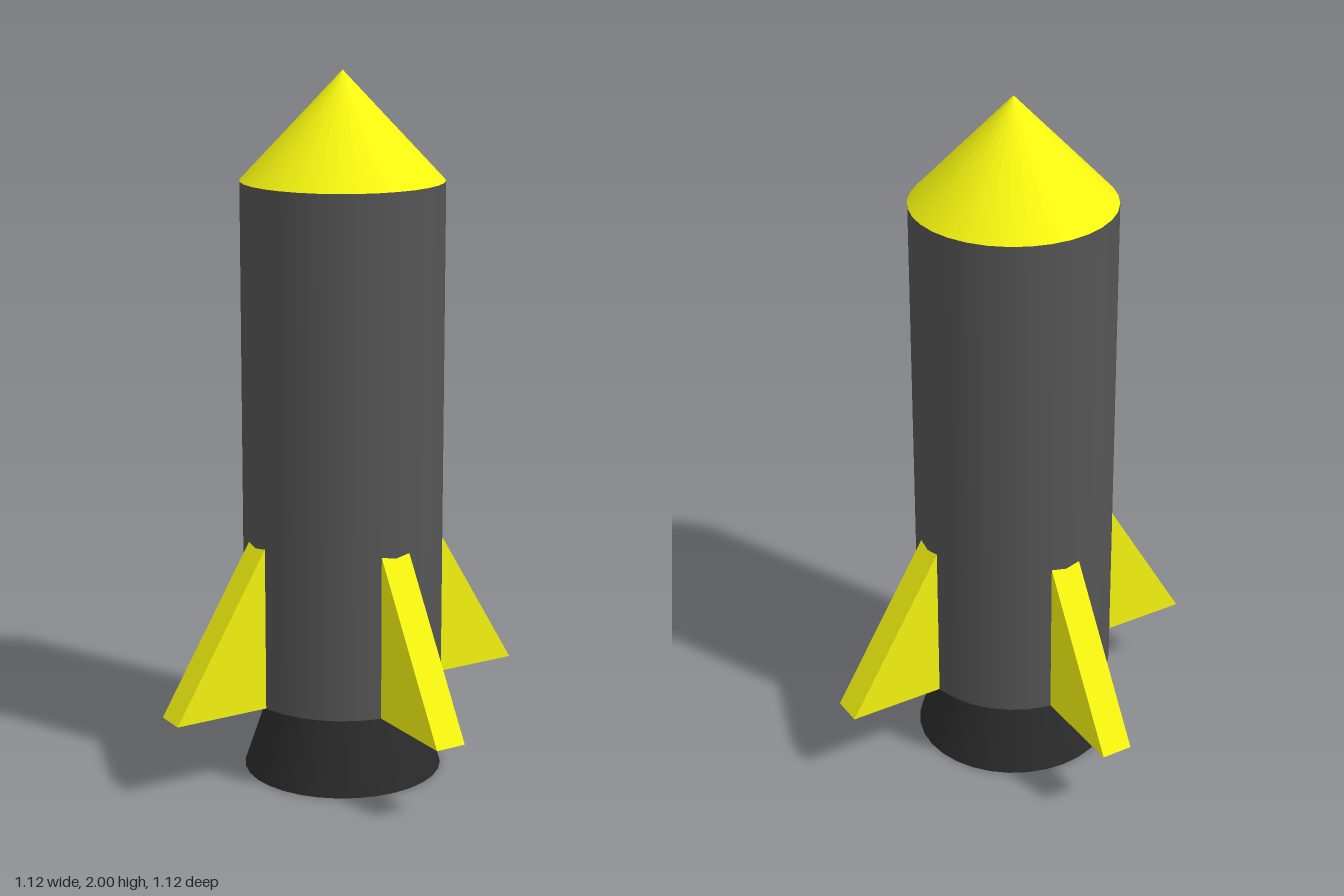
import * as THREE from 'three';

const R = 0.284;       // body radius
const BASE = 0.23;     // underside of body and fins
const SHOULDER = 1.7;  // where the nose cone starts
const SIDES = 32;
const FIN_WIDTH = 0.09;

const paint = (color) => new THREE.MeshStandardMaterial({ color });

function addMesh(parent, name, geometry, material) {
  const mesh = new THREE.Mesh(geometry, material);
  mesh.name = name;
  parent.add(mesh);
  return mesh;
}

// Triangular fin with its root sunk slightly into the body, pointing along +x
function finGeometry() {
  const tip = 0.56, top = 0.69, root = 0.25;
  const slope = (top - BASE) / (tip - R);
  const shape = new THREE.Shape([
    new THREE.Vector2(root, BASE),
    new THREE.Vector2(tip, BASE),
    new THREE.Vector2(root, BASE + (tip - root) * slope),
  ]);
  return new THREE.ExtrudeGeometry(shape, { depth: FIN_WIDTH, bevelEnabled: false })
    .translate(0, 0, -FIN_WIDTH / 2);
}

// Hollow flared nozzle: one sharp-edged band per wall
function createNozzle(material) {
  const nozzle = new THREE.Group();
  nozzle.name = 'nozzle';
  const wall = 0.034, topR = 0.206;
  const bands = {
    nozzleInside: [[topR - wall, BASE], [R - wall, 0]],
    nozzleRim: [[R - wall, 0], [R, 0]],
    nozzleOutside: [[R, 0], [topR, BASE]],
  };
  for (const [name, points] of Object.entries(bands)) {
    const profile = points.map(([r, y]) => new THREE.Vector2(r, y));
    addMesh(nozzle, name, new THREE.LatheGeometry(profile, SIDES), material);
  }
  return nozzle;
}

export function createModel() {
  const rocket = new THREE.Group();
  rocket.name = 'rocket';
  const yellow = paint(0xf5f510);

  // Body tube
  const height = SHOULDER - BASE;
  addMesh(rocket, 'body', new THREE.CylinderGeometry(R, R, height, SIDES), paint(0x555555))
    .position.y = BASE + height / 2;

  // Nose cone
  const noseHeight = 2 - SHOULDER;
  addMesh(rocket, 'noseCone', new THREE.ConeGeometry(R, noseHeight, SIDES), yellow)
    .position.y = SHOULDER + noseHeight / 2;

  // Engine nozzle
  const dark = paint(0x2a2a2a);
  dark.side = THREE.DoubleSide;
  rocket.add(createNozzle(dark));

  // Four fins
  const fin = finGeometry();
  ['leftFin', 'backFin', 'rightFin', 'frontFin'].forEach((name, i) => {
    addMesh(rocket, name, fin, yellow).rotation.y = i * Math.PI / 2;
  });

  return rocket;
}
